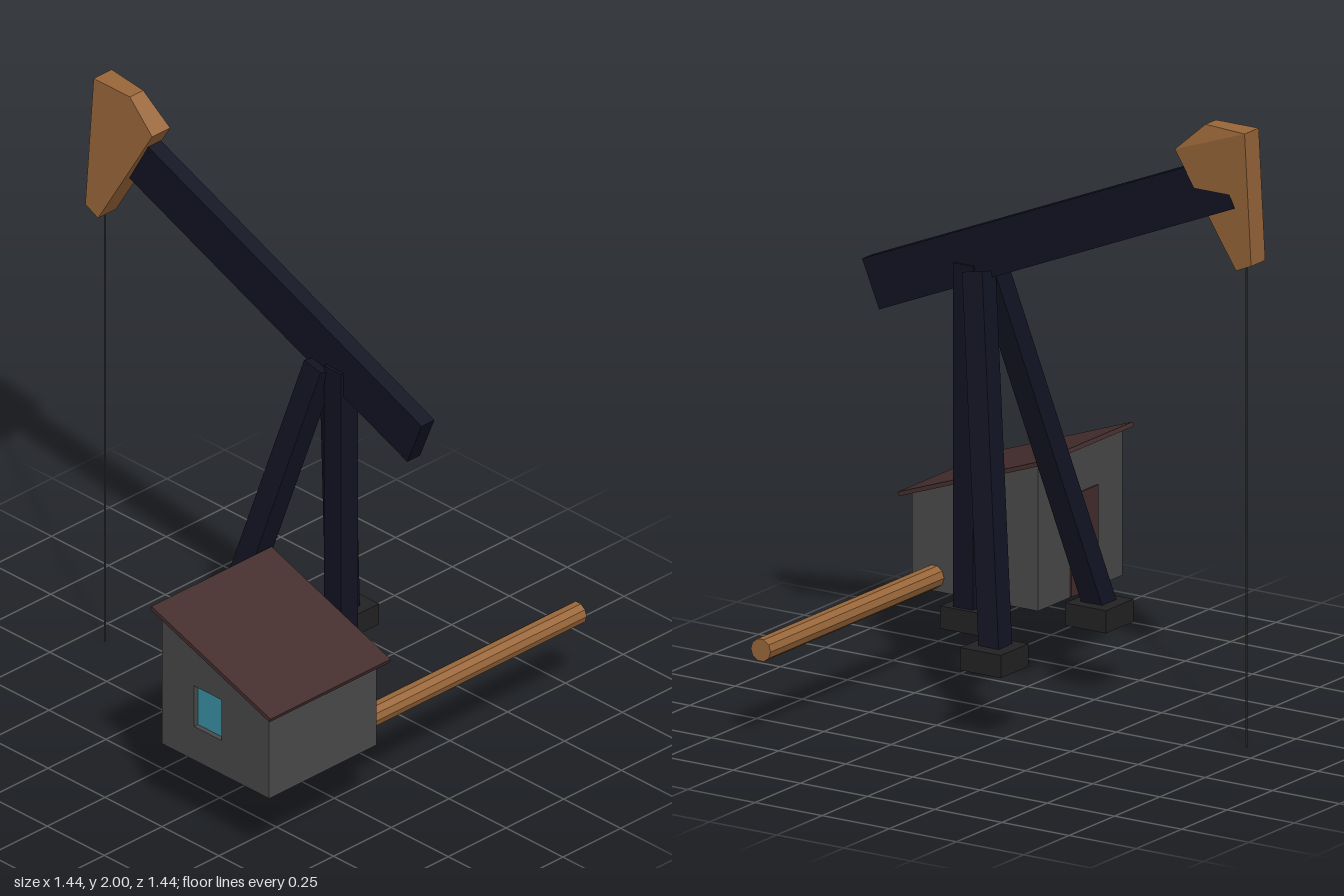
import * as THREE from 'three';

const mat = (color) => new THREE.MeshStandardMaterial({ color, flatShading: true });
const MATS = {
  steel: mat(0x121322), wood: mat(0x9a673a), wall: mat(0x4a4a4a), roof: mat(0x452e2e),
  foot: mat(0x222222), glass: mat(0x3a93a8), cable: mat(0x444444),
};

export function createModel() {
  const model = new THREE.Group();

  const add = (name, geometry, material, parent = model) => {
    const mesh = new THREE.Mesh(geometry, material);
    mesh.name = name;
    parent.add(mesh);
    return mesh;
  };
  const box = (name, size, pos, material, parent) => {
    const mesh = add(name, new THREE.BoxGeometry(...size), material, parent);
    mesh.position.set(...pos);
    return mesh;
  };
  // Side profile of [z, y] points, extruded from xRight towards -x
  const sideShape = (points) => new THREE.Shape(points.map(([z, y]) => new THREE.Vector2(z, y)));
  const extrudeSide = (shape, xRight, width) =>
    new THREE.ExtrudeGeometry(shape, { depth: width, bevelEnabled: false })
      .rotateY(-Math.PI / 2).translate(xRight, 0, 0);

  // Tripod: three square legs on block feet
  const tripod = new THREE.Group();
  tripod.name = 'tripod';
  model.add(tripod);
  const legs = [
    { name: 'front', foot: [-0.083, 0.335], from: [-0.061, 0.26, 0.337], to: [-0.061, 1.4, 0.337] },
    { name: 'left', foot: [0.253, 0.033], from: [0.25, 0.26, 0.03], to: [-0.02, 1.39, 0.275] },
    { name: 'right', foot: [-0.325, 0.033], from: [-0.335, 0.26, 0.03], to: [-0.088, 1.39, 0.275] },
  ];
  for (const { name, foot, from, to } of legs) {
    const a = new THREE.Vector3(...from), b = new THREE.Vector3(...to);
    const dir = b.clone().sub(a);
    const leg = box(name + 'Leg', [0.075, dir.length(), 0.075],
      a.clone().add(b).multiplyScalar(0.5).toArray(), MATS.steel, tripod);
    leg.quaternion.setFromUnitVectors(new THREE.Vector3(0, 1, 0), dir.normalize());
    box(name + 'Foot', [0.152, 0.073, 0.152], [foot[0], 0.257, foot[1]], MATS.foot, tripod);
  }

  // Tilted walking beam
  box('walkingBeam', [0.055, 0.166, 1.43], [-0.06, 1.55, 0.026], MATS.steel).rotation.x = 0.392;

  // Head: wedge profile leaning sideways towards its foot
  const head = extrudeSide(sideShape([
    [-0.452, 1.905], [-0.558, 2], [-0.717, 2], [-0.717, 1.565], [-0.659, 1.54],
  ]), 0.039, 0.078);
  const p = head.attributes.position;
  for (let i = 0; i < p.count; i++) {
    const y = p.getY(i), crown = y > 1.99 && p.getZ(i) > -0.6 && p.getX(i) > 0;
    p.setX(i, p.getX(i) - 0.054 + 0.083 * (y - 2) - (crown ? 0.02 : 0));
  }
  head.computeVertexNormals();
  add('head', head, MATS.wood);

  // Hanging cable
  add('cable', new THREE.CylinderGeometry(0.003, 0.003, 1.56, 6), MATS.cable)
    .position.set(-0.083, 0.78, -0.678);

  // Hut: solid body plus a thin outer wall with a window opening
  const hut = new THREE.Group();
  hut.name = 'hut';
  model.add(hut);
  const profile = [[0.67, 0.255], [0.2, 0.255], [0.2, 0.725], [0.67, 0.557]];
  add('hutBody', extrudeSide(sideShape(profile), -0.235, 0.445), MATS.wall, hut);
  const wall = sideShape(profile);
  wall.holes.push(new THREE.Path([[0.34, 0.375], [0.46, 0.375], [0.46, 0.52], [0.34, 0.52]]
    .map(([z, y]) => new THREE.Vector2(z, y))));
  add('windowWall', extrudeSide(wall, -0.68, 0.02), MATS.wall, hut);
  box('windowPane', [0.004, 0.145, 0.12], [-0.681, 0.4475, 0.4], MATS.glass, hut);
  box('door', [0.15, 0.325, 0.012], [-0.485, 0.42, 0.2], MATS.roof, hut);
  box('roof', [0.52, 0.014, 0.555], [-0.465, 0.648, 0.4375], MATS.roof, hut).rotation.x = 0.339;

  // Pipe leaving the hut
  add('pipe', new THREE.CylinderGeometry(0.037, 0.037, 0.98, 10).rotateZ(Math.PI / 2), MATS.wood)
    .position.set(0.23, 0.302, 0.587);

  return model;
}
